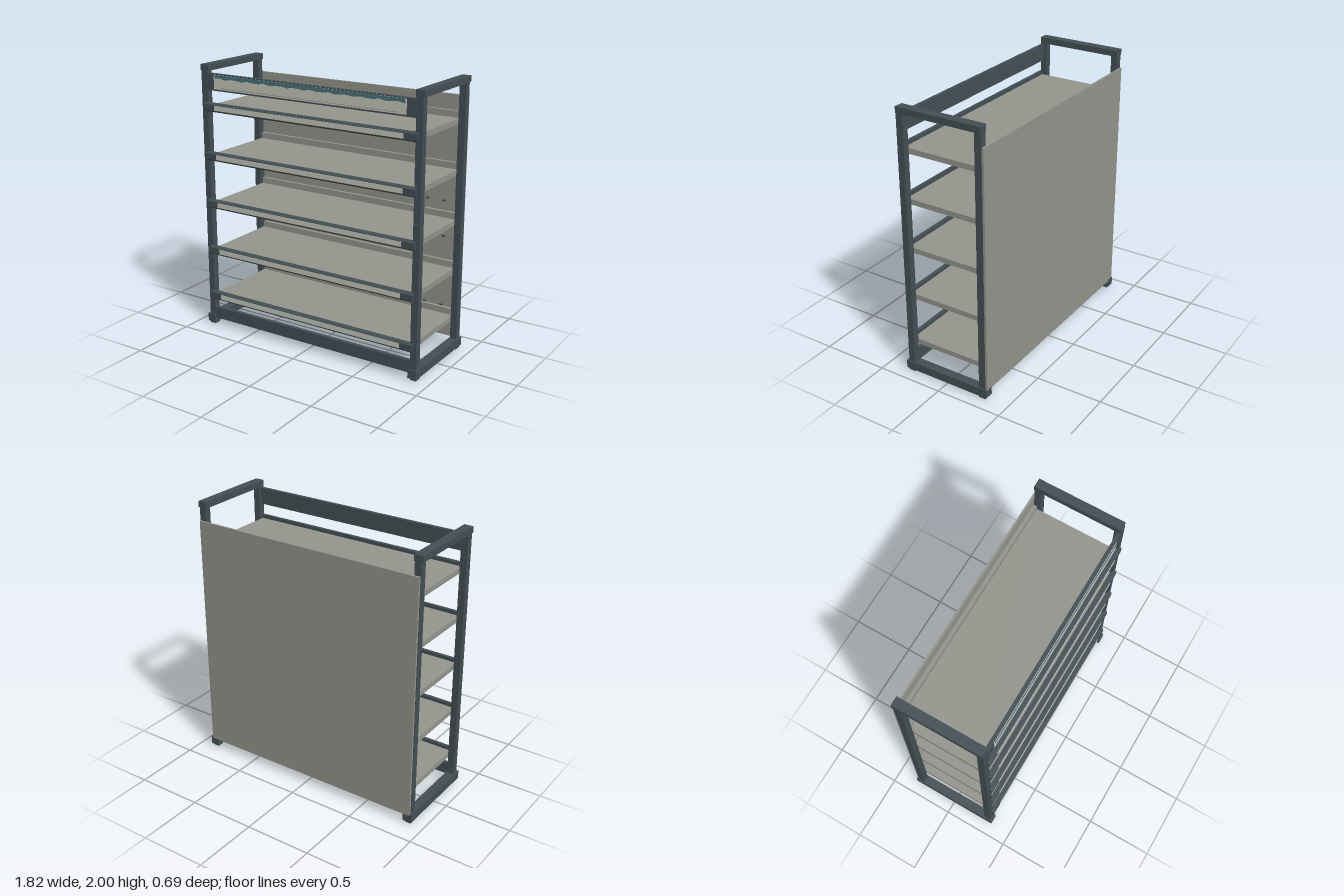
import * as THREE from 'three';

const mat = (name, color) => {
  const m = new THREE.MeshStandardMaterial({ color });
  m.name = name;
  return m;
};

export function createModel() {
  const frame = mat('dark slate metal', 0x444f55);
  const grey = mat('grey panel', 0x94958d);
  const pale = mat('pale label', 0xc4c6b9);
  const teal = mat('teal trim', 0x4d7479);
  const root = new THREE.Group();
  root.name = 'storeShelf';

  // Box given by its min and max on each axis
  const box = (name, m, [x0, x1], [y0, y1], [z0, z1], parent = root) => {
    const mesh = new THREE.Mesh(new THREE.BoxGeometry(x1 - x0, y1 - y0, z1 - z0), m);
    mesh.position.set((x0 + x1) / 2, (y0 + y1) / 2, (z0 + z1) / 2);
    mesh.name = name;
    parent.add(mesh);
    return mesh;
  };

  // Bar with a (z, y) profile running along x
  const bar = (name, m, points, half, parent = root) => {
    const shape = new THREE.Shape(points.map(([z, y]) => new THREE.Vector2(-z, y)));
    const geo = new THREE.ExtrudeGeometry(shape, { depth: half * 2, bevelEnabled: false });
    geo.translate(0, 0, -half).rotateY(Math.PI / 2);
    const mesh = new THREE.Mesh(geo, m);
    mesh.name = name;
    parent.add(mesh);
    return mesh;
  };

  // End frames: posts, top rail, foot rail and feet
  for (const s of [-1, 1]) {
    const end = new THREE.Group();
    end.name = s > 0 ? 'leftEndFrame' : 'rightEndFrame';
    root.add(end);
    const span = (a, b) => (s > 0 ? [a, b] : [-b, -a]);
    for (const z of [0.3, -0.3]) {
      box('post', frame, span(0.85, 0.9), [0.05, 1.97], [z - 0.025, z + 0.025], end);
      box('foot', frame, span(0.855, 0.9), [0, 0.03], [z - 0.025, z + 0.025], end);
    }
    box('topRail', frame, span(0.842, 0.91), [1.955, 2], [-0.325, 0.32], end);
    box('footRail', frame, span(0.842, 0.91), [0.018, 0.08], [-0.34, 0.34], end);
  }

  // Back panel and its rows of slots
  box('backPanel', grey, [-0.895, 0.895], [0.07, 1.86], [-0.34, -0.325]);
  for (let row = 0; row < 6; row++)
    for (let i = 0; i < 12; i++) {
      const x = -0.743 + i * 0.135, y = 0.3 + row * 0.2645;
      box('slot', frame, [x - 0.013, x + 0.013], [y - 0.007, y + 0.007], [-0.326, -0.323]);
    }

  // Shelves with back lip, front rail and label strip
  for (let i = 0; i < 5; i++) {
    const y = 0.242 + i * 0.364;
    const shelf = new THREE.Group();
    shelf.name = 'shelf';
    shelf.position.y = y;
    root.add(shelf);
    box('board', grey, [-0.85, 0.85], [-0.032, 0.007], [-0.325, 0.32], shelf);
    box('backLip', grey, [-0.845, 0.845], [0.007, 0.053], [-0.325, -0.3], shelf);
    bar('frontRail', frame, [
      [0.31, -0.032], [0.335, -0.032], [0.345, -0.022],
      [0.345, 0.022], [0.335, 0.032], [0.31, 0.032],
    ].reverse(), 0.87, shelf);
    box('labelStrip', pale, [-0.775, 0.775], [-0.018, 0.018], [0.344, 0.347], shelf);
  }

  // Base beam and header board
  box('baseBeam', frame, [-0.85, 0.85], [0.052, 0.143], [0.295, 0.325]);
  box('headerBoard', frame, [-0.85, 0.85], [1.82, 1.943], [0.3, 0.327]);
  box('headerSign', pale, [-0.783, 0.783], [1.832, 1.937], [0.326, 0.331]);
  box('signLine', grey, [-0.72, 0.72], [1.841, 1.845], [0.33, 0.332]);

  // Teal trim with an uneven lower edge
  const trim = new THREE.Shape();
  trim.moveTo(-0.775, 1.937);
  const steps = 32;
  for (let i = 0; i <= steps; i++)
    trim.lineTo(-0.775 + (1.55 * i) / steps, 1.91 + 0.005 * Math.sin(i * 2.3));
  trim.lineTo(0.775, 1.937);
  const trimGeo = new THREE.ExtrudeGeometry(trim, { depth: 0.003, bevelEnabled: false });
  const trimMesh = new THREE.Mesh(trimGeo, teal);
  trimMesh.position.z = 0.33;
  trimMesh.name = 'signTrim';
  root.add(trimMesh);

  return root;
}
